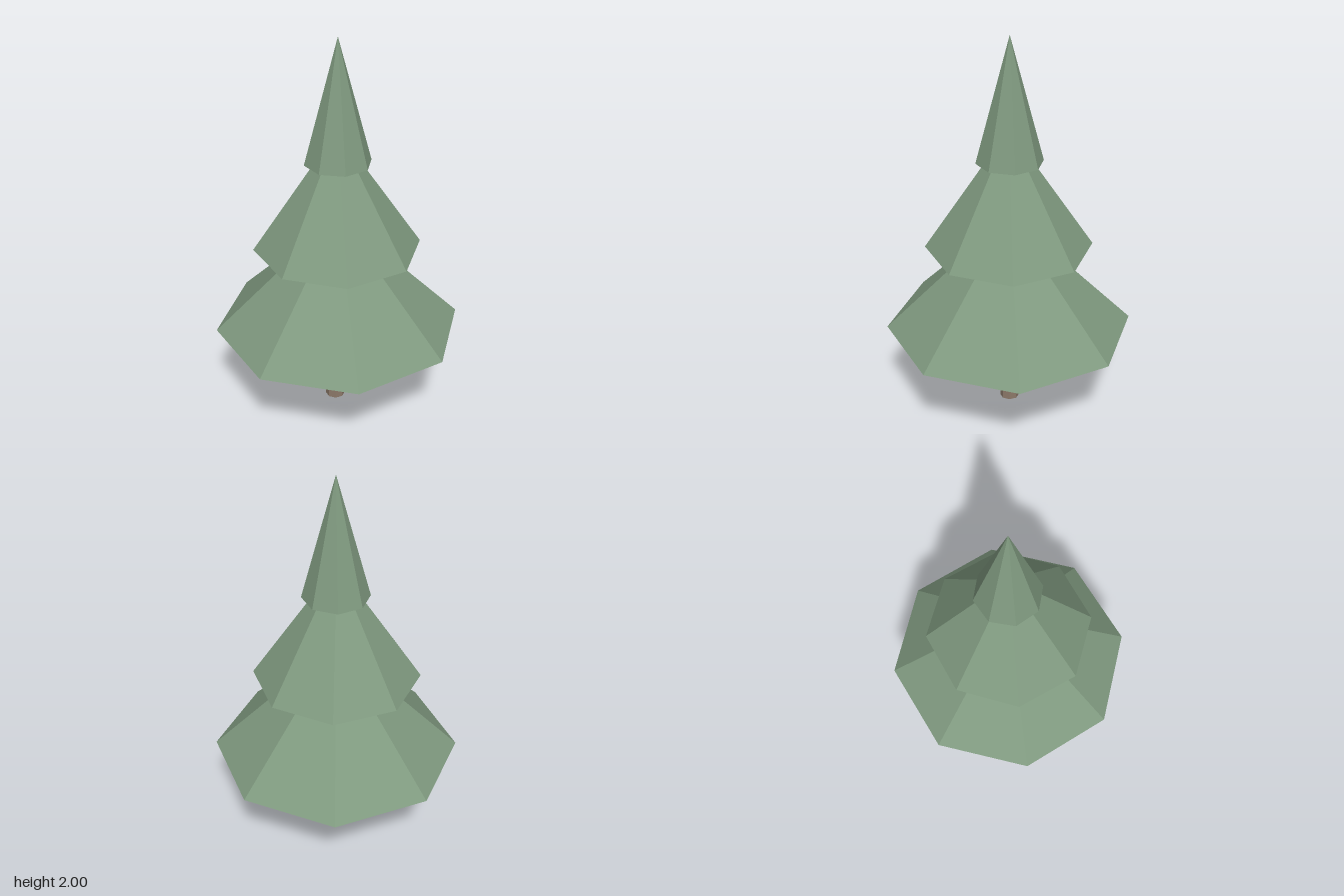
import * as THREE from 'three';

const SIDES = 8;

// Eight-sided tapered solid standing on its base; turn is in degrees.
function prism(name, material, { top, bottom, base, height, x = 0, z = 0, turn = 0 }) {
  const geometry = top > 0
    ? new THREE.CylinderGeometry(top, bottom, height, SIDES)
    : new THREE.ConeGeometry(bottom, height, SIDES);
  const mesh = new THREE.Mesh(geometry, material);
  mesh.name = name;
  mesh.position.set(x, base + height / 2, z);
  mesh.rotation.y = THREE.MathUtils.degToRad(turn);
  return mesh;
}

export function createModel() {
  const needles = new THREE.MeshStandardMaterial({ name: 'needleGreen', color: 0x7f997f, flatShading: true });
  const bark = new THREE.MeshStandardMaterial({ name: 'barkBrown', color: 0x8b7868, flatShading: true });

  const tree = new THREE.Group();
  tree.name = 'pineTree';

  // Slightly off-centre trunk, reaching up inside the lowest tier
  tree.add(prism('trunk', bark, { top: 0.035, bottom: 0.051, base: 0, height: 0.6, x: -0.014, z: -0.005, turn: -11 }));

  // Three stacked tiers, each tip hidden inside the tier above
  const tiers = [
    ['lowerBranches', { bottom: 0.634, base: 0.477, height: 0.62, turn: -5.4 }],
    ['middleBranches', { bottom: 0.422, base: 0.928, height: 0.62, x: -0.004, turn: -7.4 }],
    ['upperBranches', { bottom: 0.167, base: 1.38, height: 0.62, z: -0.003, turn: -1.6 }],
  ];
  for (const [name, size] of tiers) tree.add(prism(name, needles, { top: 0, ...size }));

  return tree;
}
